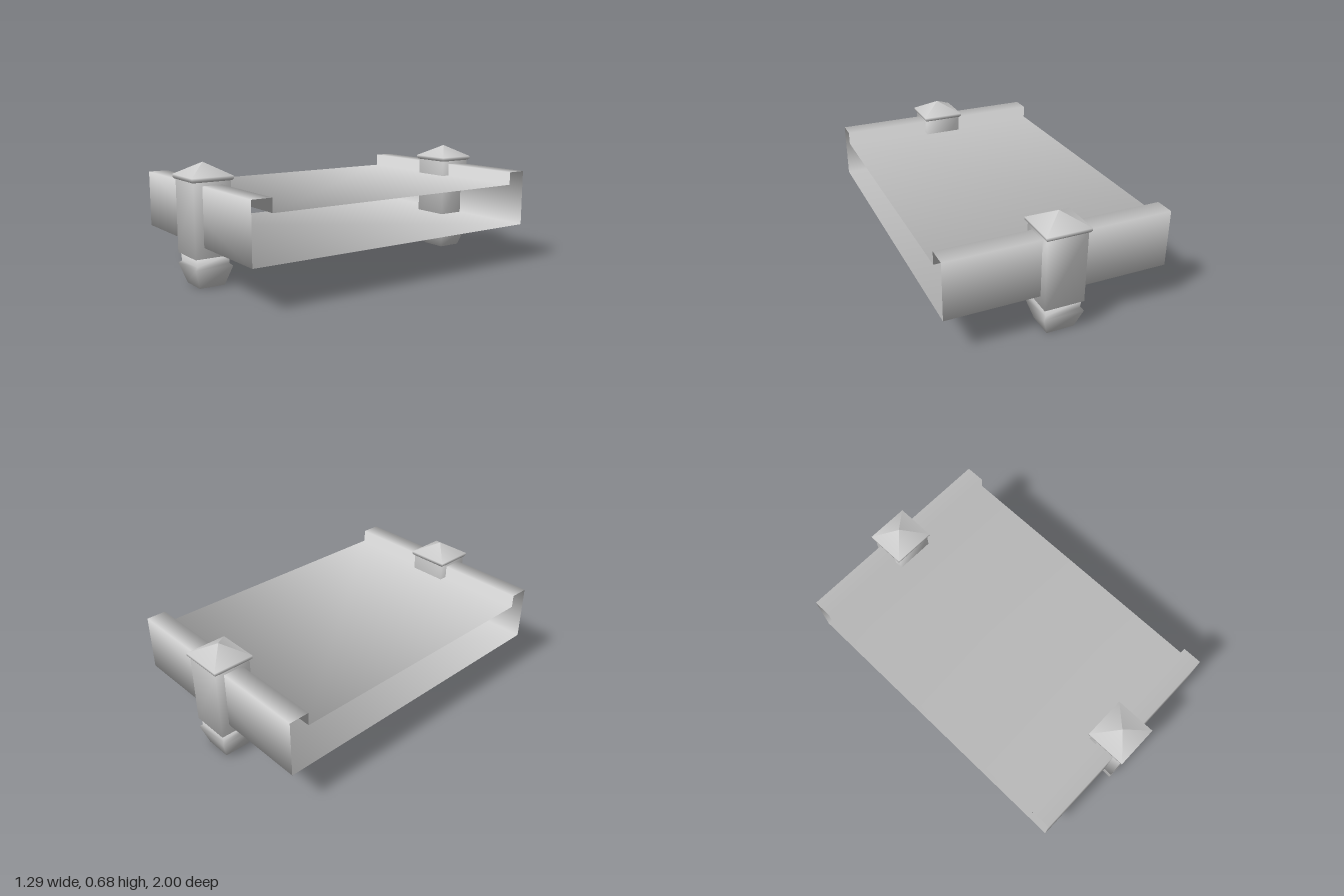
import * as THREE from 'three';

const material = new THREE.MeshStandardMaterial({ color: 0xcccccc, side: THREE.DoubleSide });

function makeMesh(name, positions, index, normals) {
  const geometry = new THREE.BufferGeometry();
  geometry.setAttribute('position', new THREE.Float32BufferAttribute(positions, 3));
  geometry.setIndex(index);
  if (normals) geometry.setAttribute('normal', new THREE.Float32BufferAttribute(normals, 3));
  else geometry.computeVertexNormals();
  const mesh = new THREE.Mesh(geometry, material);
  mesh.name = name;
  return mesh;
}

// Stack of rectangular rings [y, halfWidth, halfDepth], closed at both ends, softly shaded
function rectLoft(name, rings) {
  const positions = [], index = [];
  for (const [y, w, d] of rings) positions.push(-w, y, d, w, y, d, w, y, -d, -w, y, -d);
  for (let r = 0; r < rings.length - 1; r++) {
    for (let s = 0; s < 4; s++) {
      const a = r * 4 + s, b = r * 4 + (s + 1) % 4;
      index.push(a, b, b + 4, a, b + 4, a + 4);
    }
  }
  const t = (rings.length - 1) * 4;
  index.push(0, 2, 1, 0, 3, 2, t, t + 1, t + 2, t, t + 2, t + 3);
  return makeMesh(name, positions, index);
}

// Hollow span, open at both x ends: closed (z, y) outline swept along x
function createSpan(halfLength) {
  const half = [[0.937, 0.23], [0.937, 0.56], [0.822, 0.56], [0.822, 0.485]];
  const outline = [...half, ...half.map(([z, y]) => [-z, y]).reverse()];
  const n = outline.length;
  const positions = [], normals = [], index = [];
  const edgeNormal = (i) => {
    const [z0, y0] = outline[(i + n) % n], [z1, y1] = outline[(i + 1) % n];
    return new THREE.Vector3(0, z0 - z1, y1 - y0).normalize();
  };
  outline.forEach(([z, y], i) => {
    // Corner normals blend the two neighbouring faces
    const normal = edgeNormal(i - 1).add(edgeNormal(i)).normalize();
    for (const x of [-halfLength, halfLength]) {
      positions.push(x, y, z);
      normals.push(normal.x, normal.y, normal.z);
    }
    const a = 2 * i, b = 2 * ((i + 1) % n);
    index.push(a, a + 1, b, a + 1, b + 1, b);
  });
  return makeMesh('span', positions, index, normals);
}

// Pillar with a pyramid cap above and a tapered pendant below
function createPillar(name) {
  const pillar = new THREE.Group();
  pillar.name = name;
  pillar.add(
    rectLoft('shaft', [[0.17, 0.115, 0.108], [0.585, 0.115, 0.108]]),
    rectLoft('cap', [
      [0.58, 0.12, 0.112], [0.59, 0.128, 0.12], [0.605, 0.128, 0.12], [0.675, 0.001, 0.001],
    ]),
    rectLoft('pendant', [
      [0, 0.08, 0.074], [0.11, 0.117, 0.109], [0.125, 0.1, 0.094], [0.172, 0.105, 0.097],
    ]),
  );
  return pillar;
}

export function createModel() {
  const model = new THREE.Group();
  model.name = 'bridgeSegment';
  model.add(createSpan(0.643));
  for (const side of [1, -1]) {
    const pillar = createPillar(side > 0 ? 'frontPillar' : 'backPillar');
    pillar.position.z = side * 0.88;
    model.add(pillar);
  }
  return model;
}
